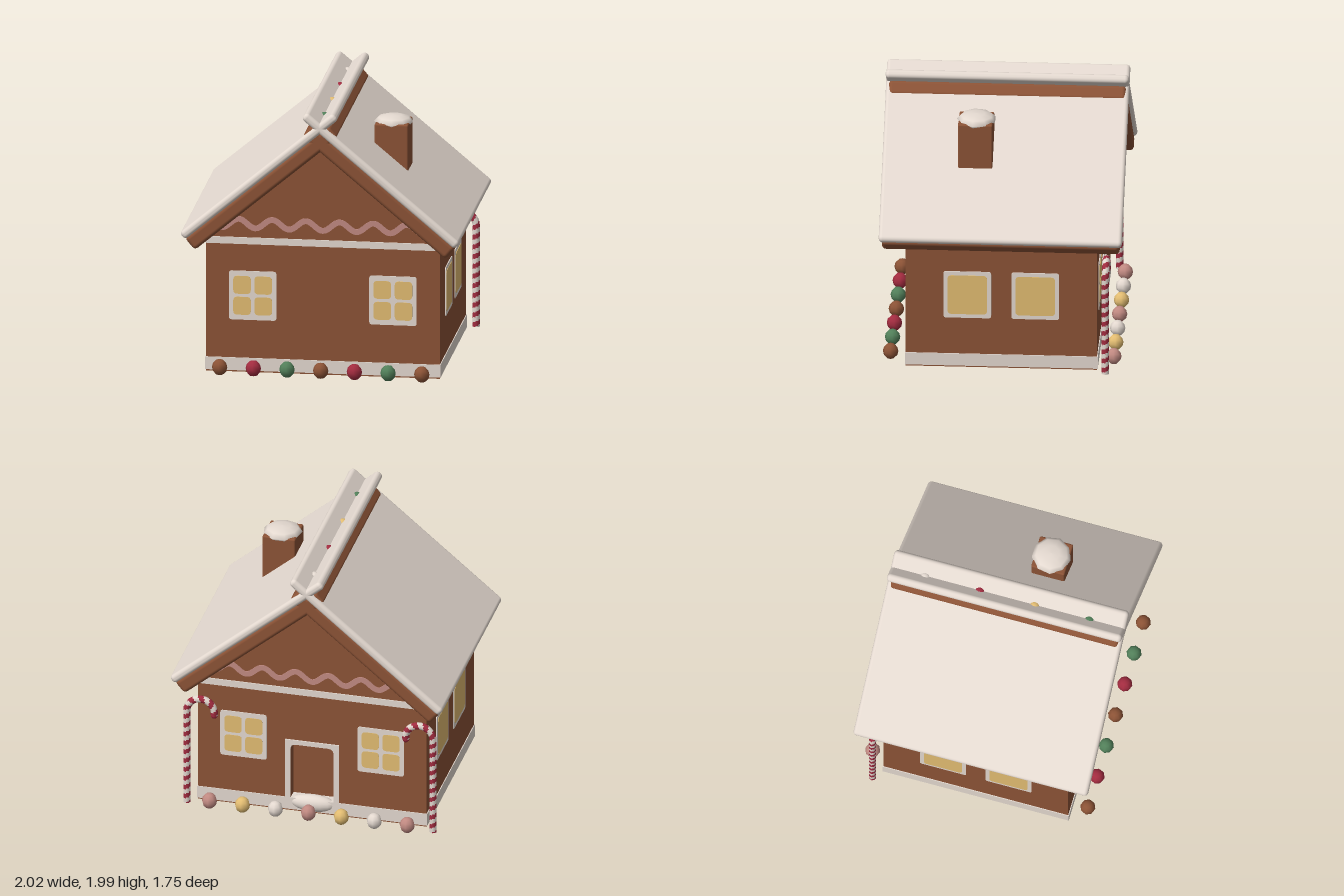
import * as THREE from 'three';
import { RoundedBoxGeometry } from 'three/addons/geometries/RoundedBoxGeometry.js';

const material = (name, hex) => {
  const m = new THREE.MeshStandardMaterial({ color: hex });
  m.name = name;
  return m;
};

export function createModel() {
  const gingerbread = material('gingerbread', 0x8c5336);
  const snow = material('snow', 0xe4d9d0);
  const yellow = material('yellow candy', 0xe3bd72);
  const red = material('red candy', 0xa32c40);
  const green = material('green candy', 0x52805a);
  const pink = material('pink icing', 0xc18a82);

  const house = new THREE.Group();
  house.name = 'gingerbreadHouse';

  const add = (parent, name, geometry, mat, x = 0, y = 0, z = 0) => {
    const mesh = new THREE.Mesh(geometry, mat);
    mesh.name = name;
    mesh.position.set(x, y, z);
    parent.add(mesh);
    return mesh;
  };
  const group = (parent, name) => {
    const g = new THREE.Group();
    g.name = name;
    parent.add(g);
    return g;
  };
  const extrude = (shape, depth) =>
    new THREE.ExtrudeGeometry(shape, { depth, bevelEnabled: false, curveSegments: 4 });
  const box = (w, h, d) => new THREE.BoxGeometry(w, h, d);

  // Thin rounded plate centred on its origin, facing +z
  const plate = (w, h, r, depth) => {
    const s = new THREE.Shape();
    const a = w / 2, b = h / 2;
    s.moveTo(-a + r, -b).lineTo(a - r, -b).quadraticCurveTo(a, -b, a, -b + r);
    s.lineTo(a, b - r).quadraticCurveTo(a, b, a - r, b);
    s.lineTo(-a + r, b).quadraticCurveTo(-a, b, -a, b - r);
    s.lineTo(-a, -b + r).quadraticCurveTo(-a, -b, -a + r, -b);
    return extrude(s, depth);
  };

  // Walls: gabled outline, the rear layer cut out for the door recess
  const gable = () => new THREE.Shape([
    [-0.85, 0.005], [0.85, 0.005], [0.85, 1.0], [0, 1.74], [-0.85, 1.0],
  ].map(([x, y]) => new THREE.Vector2(x, y)));
  add(house, 'walls', extrude(gable(), 1.3), gingerbread, 0, 0, -0.61);
  const rear = gable();
  const opening = new THREE.Path();
  opening.moveTo(-0.16, 0.1).lineTo(-0.16, 0.51).quadraticCurveTo(-0.16, 0.55, -0.12, 0.55);
  opening.lineTo(0.12, 0.55).quadraticCurveTo(0.16, 0.55, 0.16, 0.51).lineTo(0.16, 0.1);
  rear.holes.push(opening);
  add(house, 'rearWall', extrude(rear, 0.08), gingerbread, 0, 0, -0.69);
  add(house, 'snowBase', box(1.712, 0.095, 1.392), snow, 0, 0.063, 0);

  // Wavy icing ribbon
  const top = [], bottom = [];
  for (let i = 0; i <= 96; i++) {
    const x = -0.74 + (1.48 * i) / 96;
    const k = (2 * Math.PI) / 0.245;
    const y = 1.113 - 0.034 * Math.cos(k * x);
    const n = new THREE.Vector2(-0.034 * k * Math.sin(k * x), 1).normalize().multiplyScalar(0.021);
    top.push(new THREE.Vector2(x + n.x, y + n.y));
    bottom.push(new THREE.Vector2(x - n.x, y - n.y));
  }
  const wave = extrude(new THREE.Shape([...bottom, ...top.reverse()]), 0.007);

  // Windows
  const frame = plate(0.345, 0.365, 0.02, 0.006);
  const smallPane = plate(0.128, 0.134, 0.03, 0.009);
  const largePane = plate(0.285, 0.305, 0.03, 0.009);
  const window = (parent, name, x, small) => {
    const w = group(parent, name);
    w.position.set(x, 0.577, 0);
    add(w, 'windowFrame', frame, snow);
    if (!small) return add(w, 'windowPane', largePane, yellow);
    for (const sx of [-1, 1]) for (const sy of [-1, 1])
      add(w, 'windowPane', smallPane, yellow, sx * 0.077, sy * 0.078, 0);
  };

  // Wall decoration: each group faces +z before it is turned to its wall
  for (const [name, turn] of [['front', 0], ['back', Math.PI]]) {
    const side = group(house, name + 'Decoration');
    side.rotation.y = turn;
    const face = group(side, name + 'Face');
    face.position.z = 0.69;
    add(face, 'icingBand', box(1.7, 0.05, 0.016), snow, 0, 0.985, 0);
    add(face, 'icingWave', wave, pink);
    window(face, 'windowLeft', 0.51, true);
    window(face, 'windowRight', -0.51, true);

    // Row of gumdrops on the ground
    const colours = turn ? [pink, yellow, snow] : [gingerbread, red, green];
    for (let i = 0; i < 7; i++) {
      const drop = add(side, 'gumdrop', new THREE.SphereGeometry(0.056, 8, 6),
        colours[i % 3], -0.735 + 0.245 * i, 0.065, 0.805);
      drop.scale.y = 1.07;
    }
  }
  for (const s of [-1, 1]) {
    const side = group(house, s > 0 ? 'leftWindows' : 'rightWindows');
    side.rotation.y = (s * Math.PI) / 2;
    side.position.x = s * 0.85;
    window(side, 'windowFront', -0.245, false);
    window(side, 'windowBack', 0.245, false);
  }

  // Door surround and snow drift on the step
  const surround = new THREE.Shape();
  surround.moveTo(-0.2, 0.1).lineTo(-0.16, 0.1).lineTo(-0.16, 0.51);
  surround.quadraticCurveTo(-0.16, 0.55, -0.12, 0.55).lineTo(0.12, 0.55);
  surround.quadraticCurveTo(0.16, 0.55, 0.16, 0.51).lineTo(0.16, 0.1).lineTo(0.2, 0.1);
  surround.lineTo(0.2, 0.585).lineTo(-0.2, 0.585);
  add(house, 'doorFrame', extrude(surround, 0.012), snow, 0, 0, -0.7);
  const drift = add(house, 'doorSnow', new THREE.SphereGeometry(1, 16, 10), snow, 0, 0.075, -0.67);
  drift.scale.set(0.17, 0.065, 0.06);

  // Roof: two crossing slabs, each with a snow layer on top
  for (const s of [-1, 1]) {
    const roof = group(house, s > 0 ? 'roofLeft' : 'roofRight');
    roof.position.y = 1.705;
    roof.rotation.z = -s * THREE.MathUtils.degToRad(40);
    add(roof, 'roofSlab', new RoundedBoxGeometry(1.363, 0.115, 1.715, 3, 0.03),
      gingerbread, s * 0.508, 0.057, 0);
    add(roof, 'roofSnow', new RoundedBoxGeometry(1.455, 0.064, 1.755, 3, 0.028),
      snow, s * 0.462, 0.138, 0);
  }

  // Candies in the ridge valley
  [[snow, -0.62], [red, -0.21], [yellow, 0.2], [green, 0.61]].forEach(([mat, z]) =>
    add(house, 'ridgeCandy', new THREE.SphereGeometry(0.042, 10, 8), mat, 0, 1.902, z));

  // Chimney with a snow cap
  add(house, 'chimney', new RoundedBoxGeometry(0.245, 0.5, 0.25, 2, 0.012), gingerbread, 0.447, 1.54, 0.205);
  const cap = [[0, 1.765], [0.125, 1.765], [0.143, 1.785], [0.115, 1.815], [0.06, 1.83], [0, 1.833]]
    .map(([r, y]) => new THREE.Vector2(r, y));
  add(house, 'chimneySnow', new THREE.LatheGeometry(cap, 9), snow, 0.447, 0, 0.2);

  // Candy canes: a hooked tube with spiral stripes chosen face by face
  for (const s of [-1, 1]) {
    const path = new THREE.CurvePath();
    const arc = [];
    for (let i = 0; i <= 12; i++) {
      const a = (Math.PI * 1.05 * i) / 12;
      arc.push(new THREE.Vector3(s * (0.813 + 0.102 * Math.cos(a)), 0.76 + 0.102 * Math.sin(a), -0.755));
    }
    path.add(new THREE.LineCurve3(new THREE.Vector3(s * 0.915, 0.008, -0.755), arc[0]));
    path.add(new THREE.CatmullRomCurve3(arc));
    const rings = 120, sides = 8, turns = 15;
    const tube = new THREE.TubeGeometry(path, rings, 0.027, sides, false);
    const source = tube.index.array;
    const faces = [[], []];
    for (let q = 0; q < rings * sides; q++) {
      const t = ((Math.floor(q / sides) * turns) / rings + (q % sides) / sides) % 1;
      faces[t < 0.38 ? 1 : 0].push(...source.slice(q * 6, q * 6 + 6));
    }
    tube.setIndex([...faces[0], ...faces[1]]);
    tube.addGroup(0, faces[0].length, 0);
    tube.addGroup(faces[0].length, faces[1].length, 1);
    const cane = group(house, s > 0 ? 'candyCaneLeft' : 'candyCaneRight');
    add(cane, 'caneStem', tube, [snow, red]);
    const tip = arc[12];
    add(cane, 'caneTip', new THREE.SphereGeometry(0.027, 8, 6), red, tip.x, tip.y, tip.z);
    add(cane, 'caneFoot', new THREE.CircleGeometry(0.027, 8), snow, s * 0.915, 0.008, -0.755)
      .rotation.x = Math.PI / 2;
  }
  return house;
}
